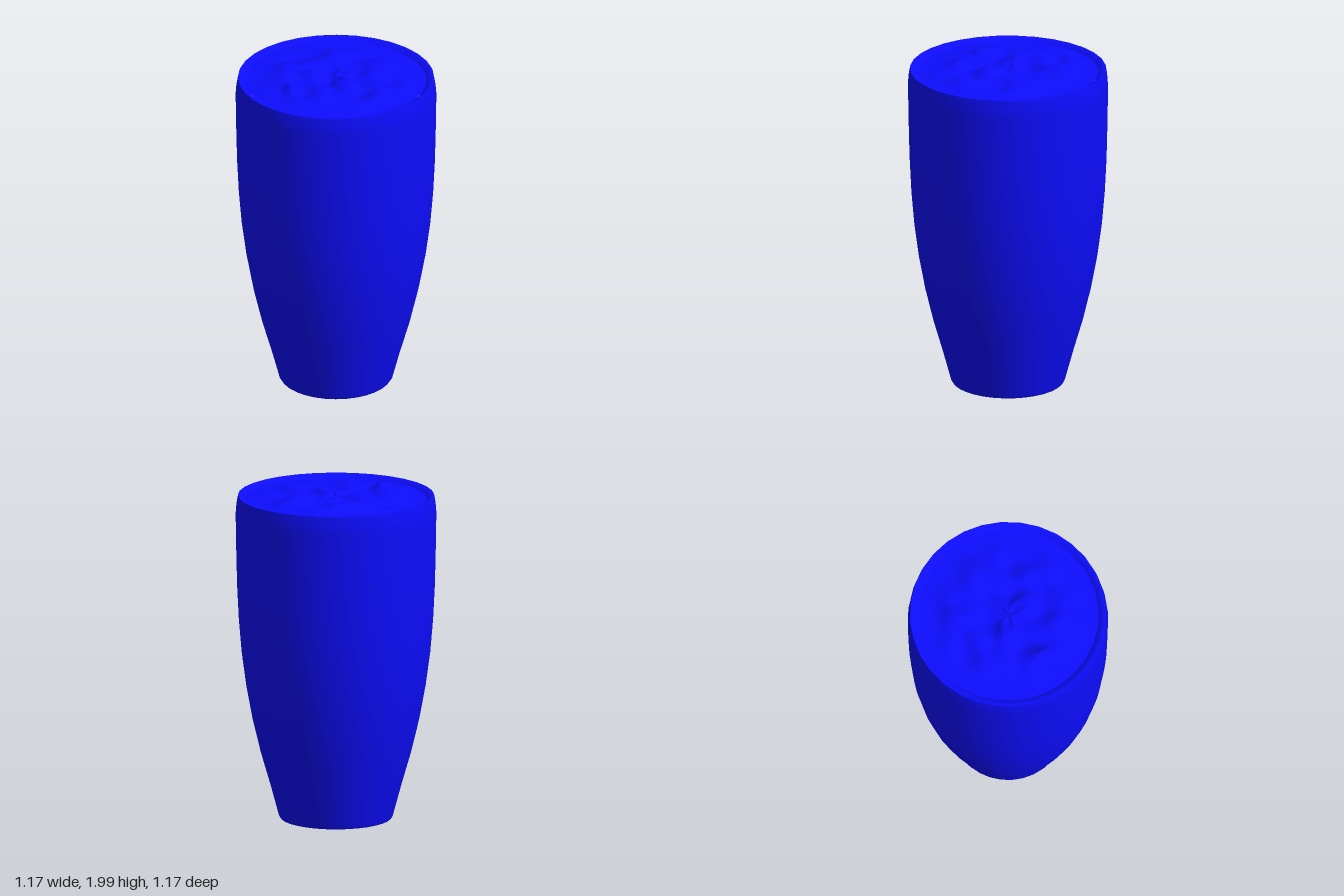
import * as THREE from 'three';

const SIDES = 32;
const material = new THREE.MeshStandardMaterial({ color: 0x0d0dff });

// Surface of revolution with a flat side towards each axis
function turned(name, profile, sides = SIDES) {
  const points = profile.map(([r, y]) => new THREE.Vector2(r, y));
  const geometry = new THREE.LatheGeometry(points, sides, Math.PI / sides);
  const mesh = new THREE.Mesh(geometry, material);
  mesh.name = name;
  return mesh;
}

// Height of the lumpy filling, fading to level at the rim
function lumpHeight(x, z) {
  const r = Math.hypot(x, z);
  const fade = 1 - THREE.MathUtils.smoothstep(r, 0.3, 0.52);
  const waves = Math.sin(13 * x + 4 * z + 1) * Math.sin(15 * z - 5 * x)
    + 0.6 * Math.sin(27 * x - 11 * z) * Math.cos(24 * z + 9 * x)
    + 0.5 * Math.sin(26 * r + 2 * Math.sin(Math.atan2(z, x) * 3));
  const peak = 0.05 * Math.exp(-((x + 0.32) ** 2 + (z - 0.04) ** 2) / 0.0012);
  return Math.min(1.925 + fade * (0.018 + 0.016 * waves) + peak, 2);
}

// Polar disc whose rings are raised by the height rule
function createSoil() {
  const rings = 24, sides = 64, radius = 0.53;
  const profile = [];
  for (let i = rings; i >= 0; i--) profile.push([radius * i / rings, 1.925]);
  const soil = turned('soil', profile, sides);
  const position = soil.geometry.attributes.position;
  for (let i = 0; i < position.count; i++) {
    position.setY(i, lumpHeight(position.getX(i), position.getZ(i)));
  }
  soil.geometry.computeVertexNormals();
  return soil;
}

export function createModel() {
  const group = new THREE.Group();
  group.name = 'planter';

  // Tapered outer wall, curving in slightly at the lip
  group.add(turned('outerWall', [
    [0.325, 0.01], [0.335, 0.025], [0.382, 0.2], [0.44, 0.4], [0.488, 0.6], [0.525, 0.8],
    [0.552, 1], [0.569, 1.2], [0.579, 1.4], [0.584, 1.6], [0.588, 1.84], [0.583, 1.9], [0.575, 1.946],
  ]));

  // Rim sloping in to the filling
  group.add(turned('rim', [[0.575, 1.946], [0.565, 1.946], [0.545, 1.938], [0.527, 1.92]]));

  // Underside and shallow foot
  group.add(turned('underside', [[0.255, 0.01], [0.325, 0.01]]));
  group.add(turned('footEdge', [[0.26, 0], [0.26, 0.01]]));
  group.add(turned('footBase', [[0, 0], [0.26, 0]]));

  group.add(createSoil());
  return group;
}
